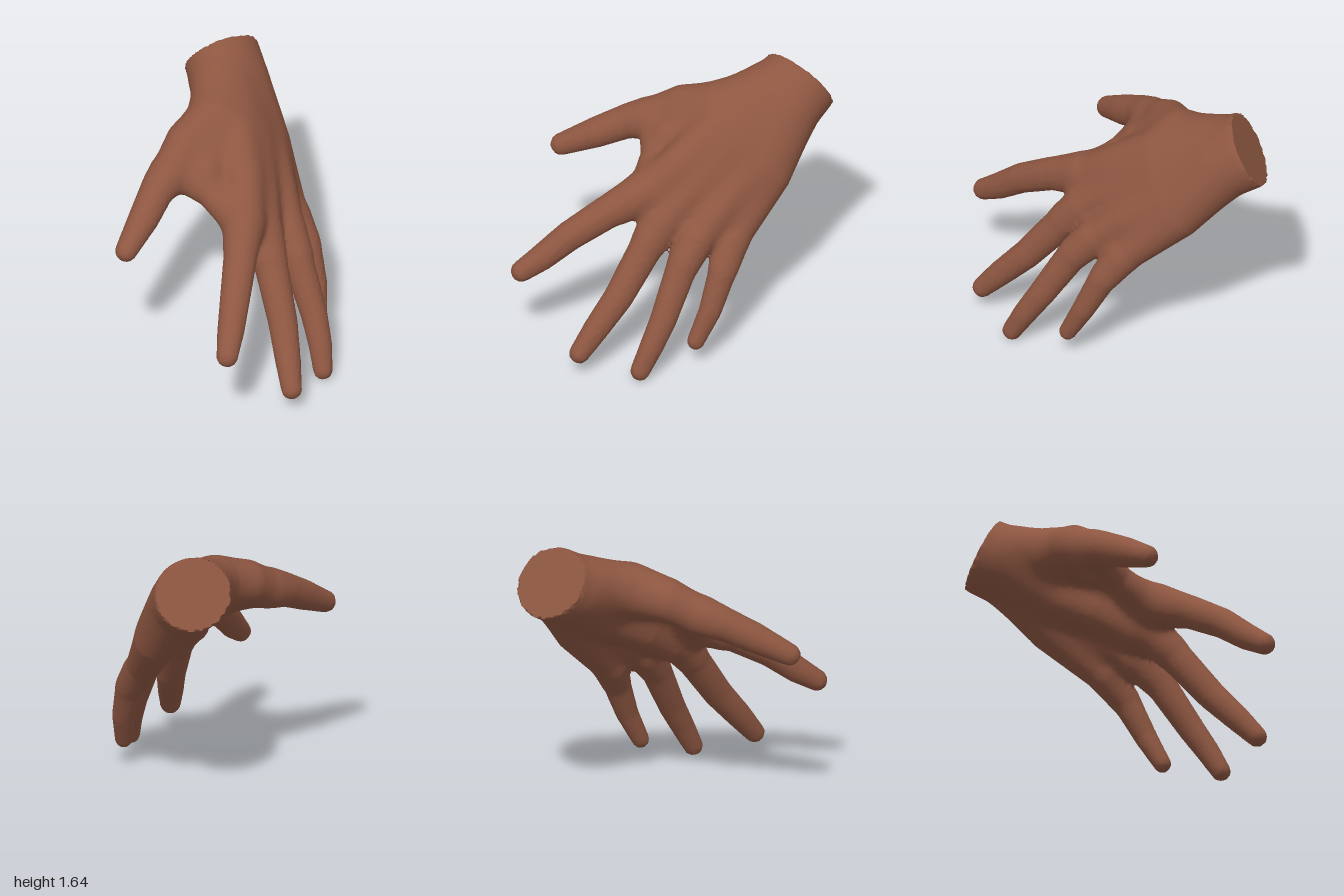
import * as THREE from 'three';

// Each chain lists [x, y, z, radius] along a bone; flesh is blended round the bones.
const palmChains = [
  [[-0.25, 1.47, -0.82, 0.185], [-0.05, 1.29, -0.3, 0.145], [0.04, 1.14, -0.05, 0.125], [0.085, 1.01, 0.15, 0.11], [0.088, 0.92, 0.32, 0.095]],
  [[-0.24, 1.46, -0.84, 0.185], [0.03, 1.21, -0.38, 0.135], [0.12, 1.02, -0.12, 0.12], [0.19, 0.85, 0.1, 0.107], [0.23, 0.76, 0.18, 0.093]],
  [[-0.2, 1.44, -0.84, 0.185], [0.09, 1.11, -0.48, 0.135], [0.21, 0.93, -0.27, 0.115], [0.31, 0.76, -0.08, 0.1], [0.37, 0.67, 0, 0.085]],
  [[-0.18, 1.42, -0.85, 0.185], [-0.1, 1.34, -0.76, 0.17], [0.1, 1.03, -0.57, 0.14], [0.3, 0.71, -0.3, 0.095], [0.38, 0.6, -0.24, 0.075]],
  [[-0.22, 1.42, -0.58, 0.13], [-0.19, 1.36, -0.33, 0.145], [-0.31, 1.3, -0.15, 0.135], [-0.42, 1.18, 0.1, 0.1]], // thumb mound
  [[-0.19, 1.34, -0.35, 0.13], [-0.18, 1.2, -0.04, 0.105]], // flesh behind the thumb web
  [[-0.36, 1.2, 0.02, 0.09], [-0.14, 1.1, 0.06, 0.088], [0.07, 0.97, 0.18, 0.1]], // thumb web
  [[-0.2, 1.37, -0.7, 0.16], [-0.05, 1.14, -0.42, 0.135], [0.02, 1.01, -0.2, 0.115], [0.13, 0.87, 0, 0.095]], // palm pad
];
const fingers = {
  thumb: [[-0.4, 1.2, 0.06, 0.11], [-0.445, 1.16, 0.16, 0.103], [-0.5, 1.07, 0.34, 0.092], [-0.573, 0.967, 0.535, 0.067]],
  indexFinger: [[0.08, 1.0, 0.2, 0.11], [0.095, 0.89, 0.42, 0.1], [0.1, 0.765, 0.64, 0.09], [0.1, 0.635, 0.81, 0.08], [0.1, 0.555, 0.935, 0.065]],
  middleFinger: [[0.19, 0.84, 0.1, 0.11], [0.25, 0.71, 0.21, 0.1], [0.35, 0.45, 0.4, 0.088], [0.405, 0.28, 0.55, 0.077], [0.445, 0.15, 0.66, 0.062]],
  ringFinger: [[0.31, 0.76, -0.08, 0.1], [0.39, 0.61, 0.03, 0.092], [0.5, 0.35, 0.16, 0.08], [0.55, 0.2, 0.245, 0.071], [0.58, 0.06, 0.32, 0.059]],
  littleFinger: [[0.31, 0.71, -0.3, 0.095], [0.4, 0.56, -0.22, 0.083], [0.465, 0.35, -0.135, 0.068], [0.495, 0.165, -0.04, 0.053]],
};

// Plane that cuts the wrist
const wrist = new THREE.Vector3(-0.23, 1.46, -0.84);
const cutNormal = new THREE.Vector3(-0.5, 0.48, -0.72).normalize();
const beyondCut = (x, y, z) =>
  (x - wrist.x) * cutNormal.x + (y - wrist.y) * cutNormal.y + (z - wrist.z) * cutNormal.z;

// Distance to a tapered bone chain
function chainDistance(chain, x, y, z) {
  let best = Infinity;
  for (let i = 0; i + 1 < chain.length; i++) {
    const [ax, ay, az, ar] = chain[i], [bx, by, bz, br] = chain[i + 1];
    const dx = bx - ax, dy = by - ay, dz = bz - az;
    const px = x - ax, py = y - ay, pz = z - az;
    const raw = (px * dx + py * dy + pz * dz) / (dx * dx + dy * dy + dz * dz);
    const t = Math.min(1, Math.max(0, raw));
    const ex = px - dx * t, ey = py - dy * t, ez = pz - dz * t;
    best = Math.min(best, Math.sqrt(ex * ex + ey * ey + ez * ez) - ar - (br - ar) * t);
  }
  return best;
}

function blend(a, b, k) {
  const h = Math.max(k - Math.abs(a - b), 0) / k;
  return Math.min(a, b) - h * h * k * 0.25;
}

const fingerChains = Object.values(fingers);
const palmDistance = (x, y, z) =>
  palmChains.reduce((d, chain) => blend(d, chainDistance(chain, x, y, z), 0.08), 10);

function handDistance(x, y, z) {
  const palm = palmDistance(x, y, z);
  let d = palm;
  for (const chain of fingerChains) d = Math.min(d, blend(palm, chainDistance(chain, x, y, z), 0.04));
  return Math.max(d, beyondCut(x, y, z));
}

// Polygonise the blended form on a regular grid: one vertex per crossed cell
function skinSurface(min, max, cell) {
  const n = min.map((m, i) => Math.ceil((max[i] - m) / cell) + 1);
  const step = [1, n[0], n[0] * n[1]];
  const values = new Float32Array(n[0] * n[1] * n[2]);
  const cellVertex = new Int32Array(values.length).fill(-1);
  const positions = [], triangles = [];
  const eachCell = (start, visit) => {
    for (let k = start; k < n[2] - start; k++)
      for (let j = start; j < n[1] - start; j++)
        for (let i = start; i < n[0] - start; i++) visit(i, j, k, i + j * step[1] + k * step[2]);
  };
  eachCell(0, (i, j, k, id) => {
    values[id] = handDistance(min[0] + i * cell, min[1] + j * cell, min[2] + k * cell);
  });

  eachCell(1, (i, j, k, id) => {
    const sum = [0, 0, 0];
    let count = 0;
    for (let corner = 0; corner < 8; corner++) {
      const o = [corner & 1, (corner >> 1) & 1, corner >> 2];
      const from = id + o[0] + o[1] * step[1] + o[2] * step[2];
      for (let axis = 0; axis < 3; axis++) {
        if (o[axis]) continue;
        const a = values[from], b = values[from + step[axis]];
        if ((a < 0) === (b < 0)) continue;
        for (let c = 0; c < 3; c++) sum[c] += o[c] + (c === axis ? a / (a - b) : 0);
        count++;
      }
    }
    if (!count) return;
    cellVertex[id] = positions.length / 3;
    const p = [i, j, k].map((g, c) => min[c] + (g + sum[c] / count) * cell);
    // Settle vertices beside the cut onto its plane
    const s = beyondCut(...p);
    if (s > -0.011) cutNormal.toArray().forEach((c, axis) => { p[axis] -= c * s; });
    positions.push(...p);
  });

  eachCell(1, (i, j, k, id) => {
    for (let axis = 0; axis < 3; axis++) {
      const inside = values[id] < 0;
      if (inside === values[id + step[axis]] < 0) continue;
      const b = step[(axis + 1) % 3], c = step[(axis + 2) % 3];
      const q = [id, id - b, id - b - c, id - c].map((v) => cellVertex[v]);
      if (!inside) q.reverse();
      triangles.push([q[0], q[1], q[2]], [q[0], q[2], q[3]]);
    }
  });
  return { positions, triangles };
}

export function createModel() {
  const group = new THREE.Group();
  group.name = 'hand';
  const skin = new THREE.MeshStandardMaterial({ color: 0x8d5641 });
  skin.name = 'brown skin';

  const { positions, triangles } = skinSurface([-0.74, -0.06, -1.1], [0.74, 1.76, 1.08], 0.02);

  // Sort the faces into palm, fingers and flat wrist end
  const parts = { palm: [], wristEnd: [] };
  const names = Object.keys(fingers);
  names.forEach((name) => { parts[name] = []; });
  const skinIndex = [];
  for (const tri of triangles) {
    const points = tri.map((v) => positions.slice(v * 3, v * 3 + 3));
    if (points.every((p) => Math.abs(beyondCut(...p)) < 1e-4)) {
      parts.wristEnd.push(...tri);
      continue;
    }
    skinIndex.push(...tri);
    const centre = [0, 1, 2].map((c) => (points[0][c] + points[1][c] + points[2][c]) / 3);
    let owner = 'palm', nearest = palmDistance(...centre);
    for (const name of names) {
      const d = chainDistance(fingers[name], ...centre);
      if (d < nearest) { nearest = d; owner = name; }
    }
    parts[owner].push(...tri);
  }

  // Smooth normals are shared across the seams between parts
  const whole = new THREE.BufferGeometry();
  whole.setAttribute('position', new THREE.Float32BufferAttribute(positions, 3));
  whole.setIndex(skinIndex);
  whole.computeVertexNormals();

  for (const [name, index] of Object.entries(parts)) {
    const shared = new THREE.BufferGeometry();
    shared.setAttribute('position', whole.getAttribute('position'));
    shared.setAttribute('normal', whole.getAttribute('normal'));
    shared.setIndex(index);
    const geometry = shared.toNonIndexed();
    if (name === 'wristEnd') geometry.computeVertexNormals();
    const mesh = new THREE.Mesh(geometry, skin);
    mesh.name = name;
    group.add(mesh);
  }
  return group;
}
